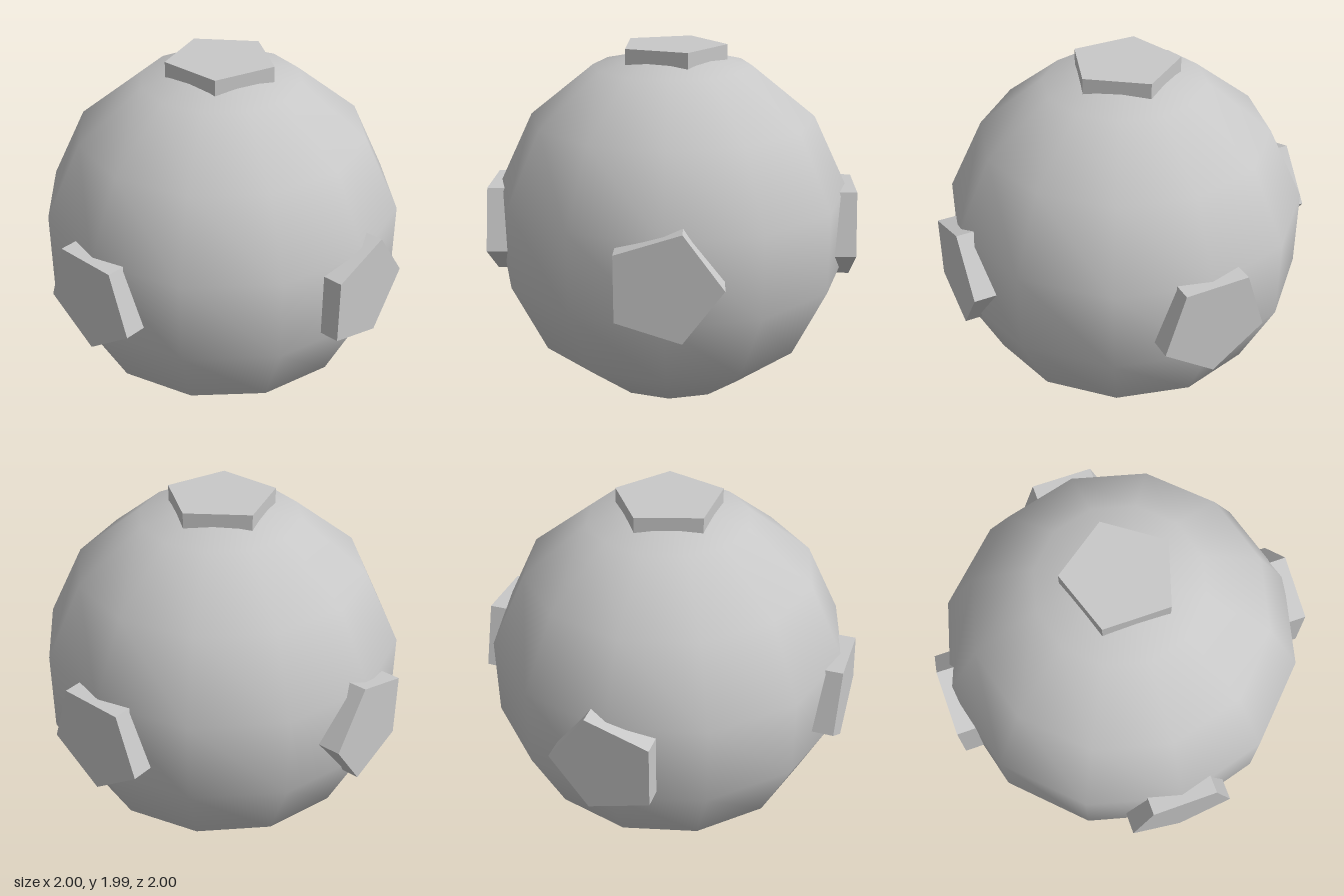
import * as THREE from 'three';

const RADIUS = 0.985;      // ball radius, also the height of its centre
const STUD_RADIUS = 0.294; // corner radius of a pentagon stud
const STUD_OUTER = 1.0;    // outer face distance from the ball centre
const STUD_DEPTH = 0.15;

// Pentagon plate facing +z with one corner pointing down
function makeStudGeometry() {
  const points = [];
  for (let i = 0; i < 5; i++) {
    const a = -Math.PI / 2 + (i * Math.PI * 2) / 5;
    points.push(new THREE.Vector2(STUD_RADIUS * Math.cos(a), STUD_RADIUS * Math.sin(a)));
  }
  const geometry = new THREE.ExtrudeGeometry(new THREE.Shape(points), {
    depth: STUD_DEPTH,
    bevelEnabled: false,
  });
  geometry.translate(0, 0, STUD_OUTER - STUD_DEPTH);
  return geometry;
}

export function createModel() {
  const model = new THREE.Group();
  model.name = 'studdedBall';

  const grey = new THREE.MeshStandardMaterial({ color: 0xc8c8c8 });
  grey.name = 'lightGrey';

  // Smooth-shaded ball with few segments
  const ball = new THREE.Mesh(new THREE.SphereGeometry(RADIUS, 12, 7), grey);
  ball.name = 'ball';
  ball.position.y = RADIUS;
  model.add(ball);

  // Five studs; the z rotation spins the pentagon before it is turned outwards
  const q = Math.PI / 2;
  const studs = {
    frontStud: [0, 0, 0],
    backStud: [0, Math.PI, 0],
    leftStud: [0, q, q],
    rightStud: [0, -q, -q],
    topStud: [-q, 0, Math.PI],
  };
  const studGeometry = makeStudGeometry();
  for (const [name, rotation] of Object.entries(studs)) {
    const stud = new THREE.Mesh(studGeometry, grey);
    stud.name = name;
    stud.rotation.set(...rotation);
    stud.position.y = RADIUS;
    model.add(stud);
  }

  return model;
}
